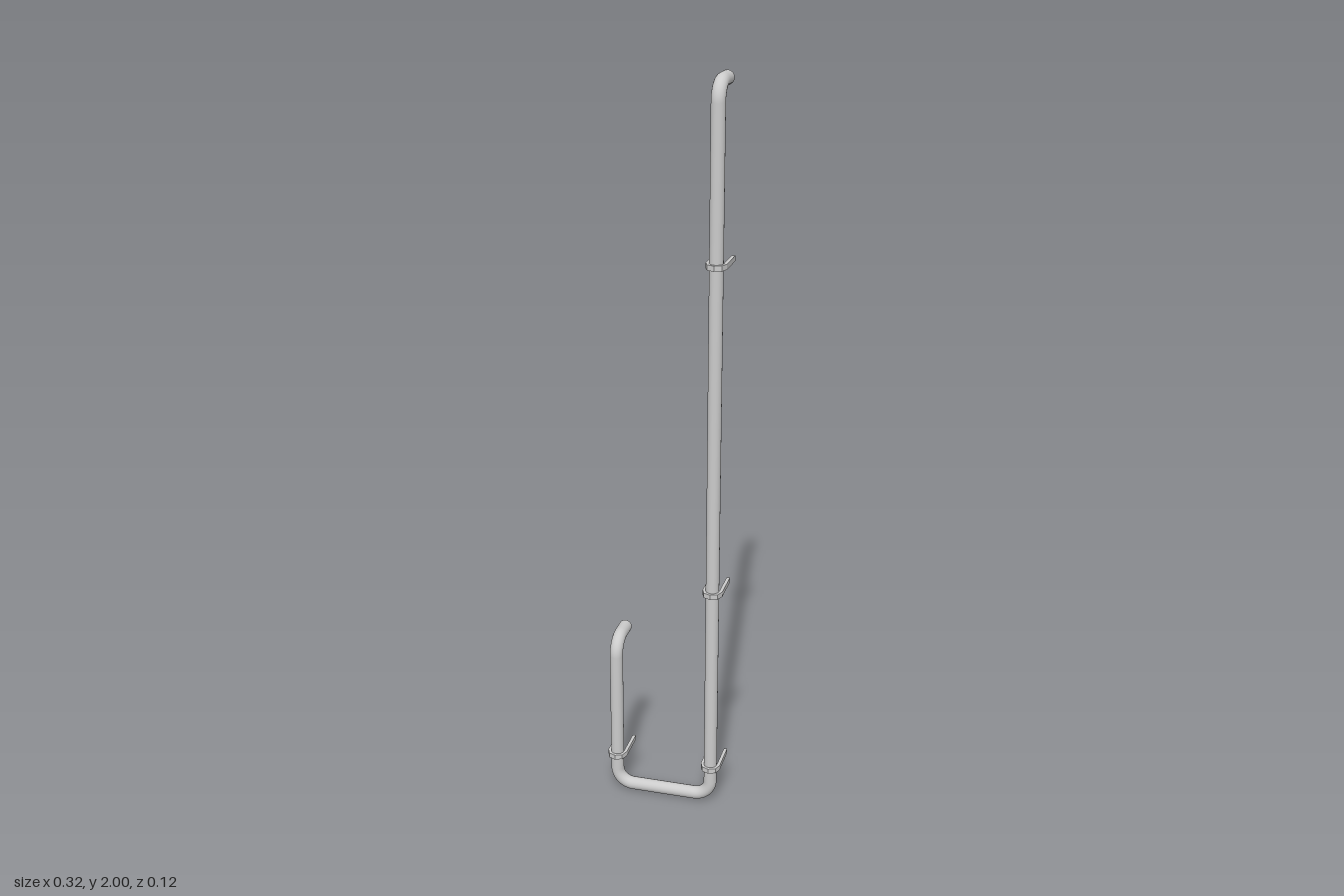
import * as THREE from 'three';

const X = 0.135, Z = 0.03, BACK = -0.06; // pipe offset, pipe depth, wall plane
const R = 0.018, BEND = 0.046;

// Path of straight runs joined by rounded corners
function roundedPath(corners, radius) {
  const path = new THREE.CurvePath();
  path.arcLengthDivisions = 1200;
  let from = corners[0];
  for (let i = 1; i < corners.length - 1; i++) {
    const c = corners[i];
    const dirIn = corners[i - 1].clone().sub(c).normalize();
    const dirOut = corners[i + 1].clone().sub(c).normalize();
    const at = (dir, d) => c.clone().addScaledVector(dir, d);
    const start = at(dirIn, radius), end = at(dirOut, radius);
    path.add(new THREE.LineCurve3(from, start));
    path.add(new THREE.CubicBezierCurve3(start, at(dirIn, radius * 0.448), at(dirOut, radius * 0.448), end));
    from = end;
  }
  path.add(new THREE.LineCurve3(from, corners[corners.length - 1]));
  return path;
}

// U-shaped strap with a faceted nose, open towards the wall
function strapGeometry(height) {
  const outline = [];
  const addSide = (r, reverse) => {
    const pts = [new THREE.Vector2(-r, -BACK)];
    for (let i = 0; i <= 4; i++) {
      const a = Math.PI + (i * Math.PI) / 4;
      pts.push(new THREE.Vector2(r * Math.cos(a), -Z + r * Math.sin(a)));
    }
    pts.push(new THREE.Vector2(r, -BACK));
    outline.push(...(reverse ? pts.reverse() : pts));
  };
  addSide(0.027, false);
  addSide(R, true);
  const geo = new THREE.ExtrudeGeometry(new THREE.Shape(outline), { depth: height, bevelEnabled: false });
  geo.translate(0, 0, -height / 2);
  geo.rotateX(-Math.PI / 2);
  return geo;
}

export function createModel() {
  const group = new THREE.Group();
  const pipeMat = new THREE.MeshStandardMaterial({ color: 0xcccccc, side: THREE.DoubleSide });
  const strapMat = new THREE.MeshStandardMaterial({ color: 0xcccccc });

  // One continuous open-ended pipe: tall riser, bottom run, short riser
  const v = (x, y, z) => new THREE.Vector3(x, y, z);
  const tallTop = 2 - R, shortTop = 0.468;
  const path = roundedPath([
    v(X, tallTop, BACK), v(X, tallTop, Z), v(X, R, Z),
    v(-X, R, Z), v(-X, shortTop, Z), v(-X, shortTop, BACK),
  ], BEND);
  const pipe = new THREE.Mesh(new THREE.TubeGeometry(path, 500, R, 20, false), pipeMat);
  pipe.name = 'pipe';
  group.add(pipe);

  // Wall straps
  const strap = strapGeometry(0.014);
  for (const [x, y] of [[X, 1.54], [X, 0.648], [X, 0.11], [-X, 0.11]]) {
    const mesh = new THREE.Mesh(strap, strapMat);
    mesh.name = 'wallStrap';
    mesh.position.set(x, y, 0);
    group.add(mesh);
  }
  return group;
}
